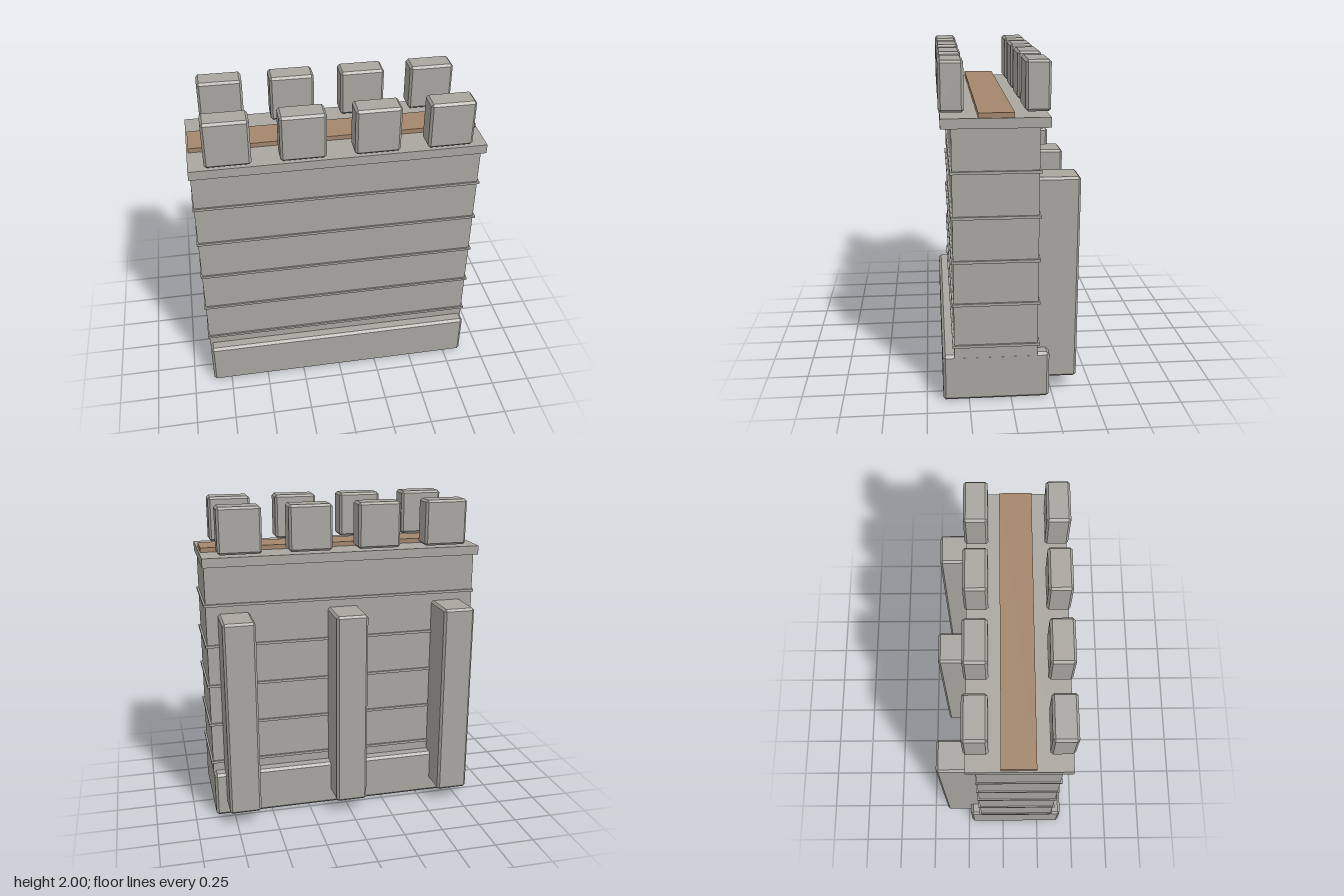
import * as THREE from 'three';
import { ConvexGeometry } from 'three/addons/geometries/ConvexGeometry.js';

const stone = new THREE.MeshStandardMaterial({ color: 0xa9a7a0 });
stone.name = 'stone';
const wood = new THREE.MeshStandardMaterial({ color: 0xa4866c });
wood.name = 'wood';

// Box with all edges cut at 45 degrees
function chamferBox(w, h, d, c) {
  const points = [];
  for (const sx of [-1, 1]) for (const sy of [-1, 1]) for (const sz of [-1, 1]) {
    for (let axis = 0; axis < 3; axis++) {
      const cut = [c, c, c];
      cut[axis] = 0;
      points.push(new THREE.Vector3(
        sx * (w / 2 - cut[0]), sy * (h / 2 - cut[1]), sz * (d / 2 - cut[2])));
    }
  }
  return new ConvexGeometry(points);
}

// Block given by its limits on each axis; chamfer 0 leaves sharp edges
function block(name, [x0, x1], [y0, y1], [z0, z1], material, chamfer = 0) {
  const size = [x1 - x0, y1 - y0, z1 - z0];
  const geometry = chamfer ? chamferBox(...size, chamfer) : new THREE.BoxGeometry(...size);
  const mesh = new THREE.Mesh(geometry, material);
  mesh.position.set((x0 + x1) / 2, (y0 + y1) / 2, (z0 + z1) / 2);
  mesh.name = name;
  return mesh;
}

export function createModel() {
  const model = new THREE.Group();
  model.name = 'castleWall';

  // Footing and wall
  model.add(block('base', [-0.869, 0.867], [0, 0.29], [-0.228, 0.404], stone, 0.016));
  model.add(block('wall', [-0.872, 0.868], [0.275, 1.65], [-0.155, 0.335], stone));

  // Thin stone courses around the wall
  for (let i = 0; i < 5; i++) {
    const y = 0.352 + i * 0.261;
    model.add(block('course', [-0.88, 0.88], [y - 0.008, y + 0.008], [-0.166, 0.345], stone));
  }

  // Parapet slab and wooden walkway
  model.add(block('parapetSlab', [-0.88, 0.88], [1.643, 1.70], [-0.213, 0.393], stone));
  model.add(block('walkway', [-0.87, 0.87], [1.70, 1.728], [-0.014, 0.186], wood));

  // Two rows of merlons
  for (const z of [-0.152, 0.33]) {
    for (let i = 0; i < 4; i++) {
      const x = -0.651 + i * 0.434;
      model.add(block('merlon', [x - 0.135, x + 0.135], [1.715, 2], [z - 0.071, z + 0.071], stone, 0.014));
    }
  }

  // Buttresses on the back
  for (const x of [-0.695, 0, 0.695]) {
    model.add(block('buttress', [x - 0.1, x + 0.1], [0.09, 1.34], [-0.402, -0.13], stone, 0.014));
  }
  return model;
}
